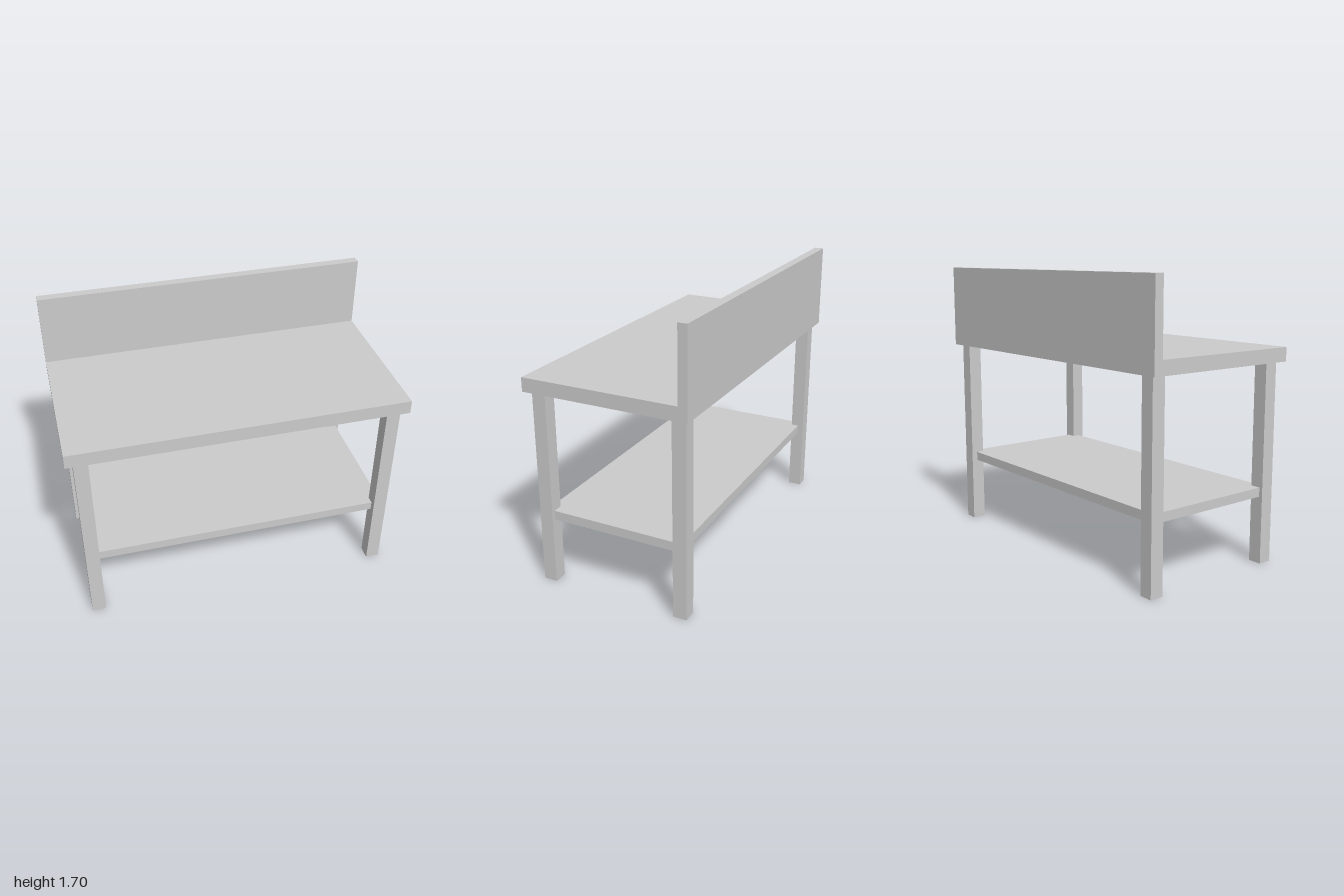
import * as THREE from 'three';

export function createModel() {
  const group = new THREE.Group();
  const material = new THREE.MeshStandardMaterial({ color: 0xcccccc, flatShading: true });

  const add = (name, geometry, parent = group) => {
    const mesh = new THREE.Mesh(geometry, material);
    mesh.name = name;
    parent.add(mesh);
    return mesh;
  };

  // Worktop and upright back panel: one L-shaped profile (z, y) swept along x
  const profile = new THREE.Shape([
    [-0.5, 1.19], [0.5, 1.19], [0.5, 1.273], [-0.445, 1.273], [-0.445, 1.7], [-0.5, 1.7],
  ].map(([z, y]) => new THREE.Vector2(z, y)));
  const top = new THREE.ExtrudeGeometry(profile, { depth: 2, bevelEnabled: false });
  top.rotateY(-Math.PI / 2).translate(1, 0, 0);
  add('worktopWithBacksplash', top);

  // Four square legs
  const legs = new THREE.Group();
  legs.name = 'legs';
  group.add(legs);
  const legGeometry = new THREE.BoxGeometry(0.083, 1.19, 0.083);
  for (const [sideX, x] of [['Left', 0.913], ['Right', -0.913]]) {
    for (const [sideZ, z] of [['front', 0.428], ['back', -0.428]]) {
      add(`${sideZ}${sideX}Leg`, legGeometry, legs).position.set(x, 0.595, z);
    }
  }

  // Lower shelf, its corners let into the legs
  add('lowerShelf', new THREE.BoxGeometry(1.866, 0.055, 0.866)).position.y = 0.43;

  return group;
}
